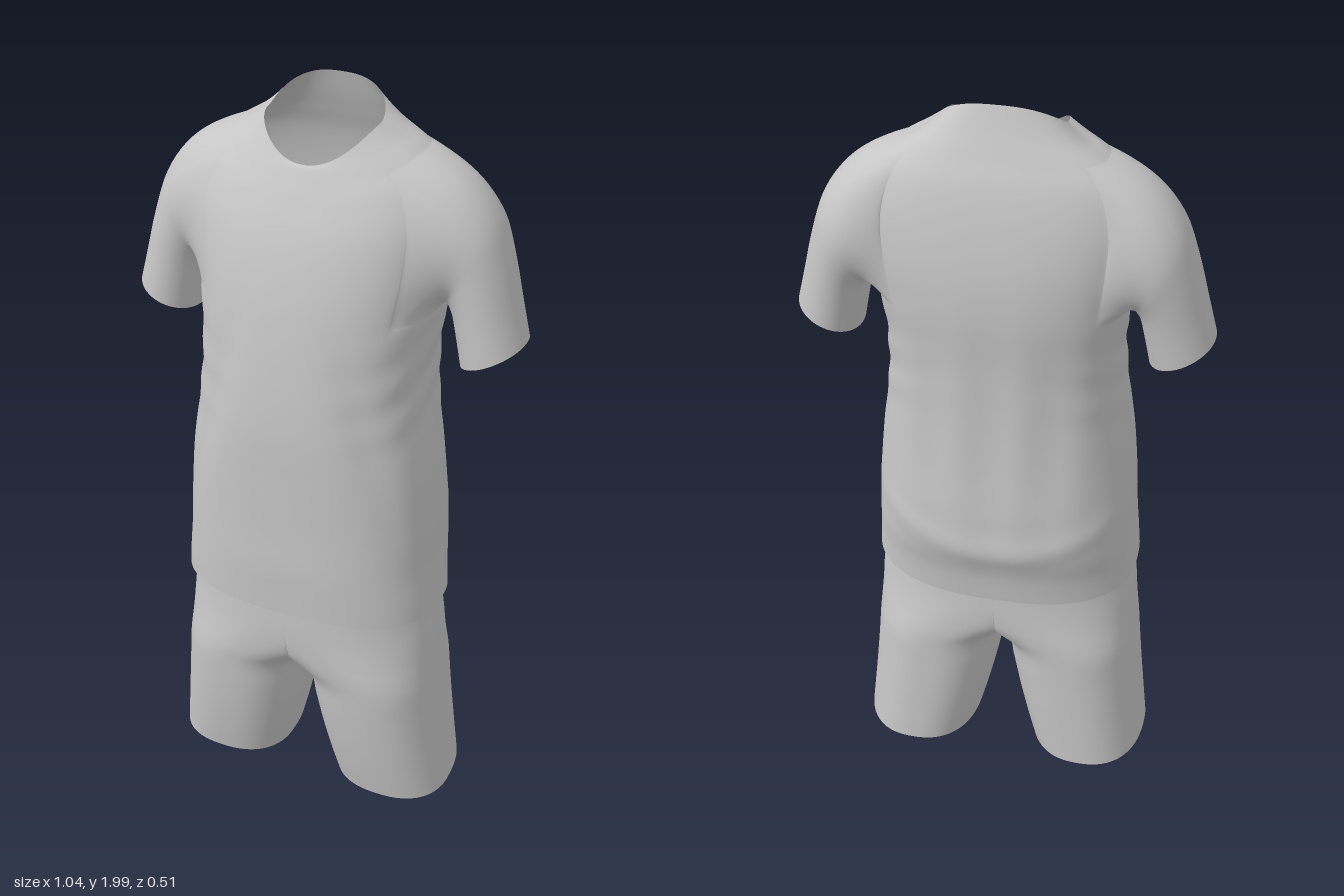
import * as THREE from 'three';

const fabric = new THREE.MeshStandardMaterial({ color: 0xc6c6c6, side: THREE.DoubleSide });
fabric.name = 'lightGreyFabric';

// Signed power, for superellipse cross-sections
const spow = (v, p) => Math.sign(v) * Math.pow(Math.abs(v), p);
const bump = (v, centre, width) => Math.exp(-(((v - centre) / width) ** 2));

// Smooth interpolation through a list of key sections, t from 0 to 1
function sample(keys, t) {
  const s = t * (keys.length - 1);
  const i = Math.min(Math.floor(s), keys.length - 2);
  const f = s - i;
  const at = (k) => keys[Math.max(0, Math.min(keys.length - 1, k))];
  return keys[0].map((_, c) => {
    const [a, b, d, e] = [at(i - 1)[c], at(i)[c], at(i + 1)[c], at(i + 2)[c]];
    return b + 0.5 * f * (d - a + f * (2 * a - 5 * b + 4 * d - e + f * (3 * (b - d) + e - a)));
  });
}

function makeMesh(name, pos, index) {
  const geo = new THREE.BufferGeometry();
  geo.setAttribute('position', new THREE.Float32BufferAttribute(pos, 3));
  geo.setIndex(index);
  geo.computeVertexNormals();
  const mesh = new THREE.Mesh(geo, fabric);
  mesh.name = name;
  return mesh;
}

// Two triangles; u runs along the ring and v to the next ring
function quad(index, a, b, c, d, flip) {
  if (flip) index.push(a, c, b, b, c, d);
  else index.push(a, b, c, b, d, c);
}

// Shirt body sections: front y, side y, back y, half width, widest z, front z, back z, front roundness
const bodyKeys = [
  [0.64, 0.64, 0.605, 0.357, 0.01, 0.243, -0.21, 0.74],
  [0.7, 0.7, 0.69, 0.352, 0.01, 0.246, -0.222, 0.74],
  [0.79, 0.79, 0.78, 0.345, 0, 0.25, -0.243, 0.74],
  [0.9, 0.9, 0.9, 0.339, 0, 0.25, -0.246, 0.74],
  [1.05, 1.05, 1.05, 0.325, 0, 0.253, -0.238, 0.75],
  [1.2, 1.2, 1.2, 0.304, -0.01, 0.255, -0.233, 0.78],
  [1.35, 1.35, 1.35, 0.296, -0.02, 0.245, -0.233, 0.81],
  [1.5, 1.5, 1.5, 0.31, -0.04, 0.226, -0.24, 0.83],
  [1.61, 1.62, 1.62, 0.33, -0.06, 0.203, -0.235, 0.85],
  [1.7, 1.73, 1.73, 0.335, -0.07, 0.176, -0.218, 0.88],
  [1.77, 1.82, 1.82, 0.305, -0.07, 0.145, -0.195, 0.92],
  [1.815, 1.872, 1.885, 0.245, -0.06, 0.122, -0.168, 0.95],
  [1.84, 1.902, 1.94, 0.19, -0.04, 0.108, -0.145, 0.95],
  [1.848, 1.93, 2.0, 0.143, -0.02, 0.1, -0.123, 0.95],
];

function bodyPoint([yF, yS, yB, w, zc, f, b, p], a) {
  const c = Math.cos(a), s = Math.sin(a);
  const round = s > 0 ? p : 0.78;
  const y = yS + (s > 0 ? (yF - yS) * s * s : (yB - yS) * Math.pow(-s, 1.2));
  let x = w * spow(c, round);
  let z = zc + (s > 0 ? f - zc : zc - b) * spow(s, round);
  // Soft drape: slanting front folds, long back folds and a slack waist
  const mid = bump(yS, 1.15, 0.28);
  if (s > 0) {
    z -= 0.012 * mid * s * bump(Math.abs(x), 0.2 + (1.25 - yS) * 0.28, 0.04);
  } else {
    z += 0.008 * mid * -s * (1 + Math.cos(x * 42)) / 2;
    z -= 0.008 * -s * bump(yS, 0.8 + 0.9 * x * x, 0.04);
  }
  x += 0.003 * c * bump(yS, 1.32, 0.14) * Math.sin(yS * 55 + z * 22);
  return [x, y, z];
}

// Sleeve sections, shoulder to cuff: outer x, outer y, inner x, inner y, front z, back z
const sleeveKeys = [
  [0.25, 1.87, 0.3, 1.485, 0.085, -0.2],
  [0.33, 1.842, 0.308, 1.497, 0.078, -0.203],
  [0.392, 1.795, 0.316, 1.502, 0.068, -0.2],
  [0.437, 1.71, 0.325, 1.497, 0.059, -0.192],
  [0.47, 1.61, 0.336, 1.475, 0.055, -0.18],
  [0.495, 1.515, 0.348, 1.42, 0.053, -0.17],
  [0.52, 1.42, 0.362, 1.348, 0.053, -0.163],
];

function sleevePoint([ox, oy, ix, iy, f, b], a) {
  const k = (1 + Math.cos(a)) / 2;
  return [ix + (ox - ix) * k, iy + (oy - iy) * k, (f + b) / 2 + ((f - b) / 2) * spow(Math.sin(a), 0.95)];
}

// One continuous skin: body rings with two armholes, and a sleeve grown from each
function makeShirt() {
  const rows = 104, cols = 120, half = 14, low = 55, high = 88, sleeveRows = 40;
  const pos = [], index = [];
  for (let j = 0; j <= rows; j++) {
    const section = sample(bodyKeys, j / rows);
    for (let i = 0; i < cols; i++) pos.push(...bodyPoint(section, (i / cols) * Math.PI * 2));
  }
  const inArmhole = (i, j) => {
    const d = (i + 0.5) % (cols / 2);
    return j >= low && j < high && Math.min(d, cols / 2 - d) < half;
  };
  for (let j = 0; j < rows; j++) {
    for (let i = 0; i < cols; i++) {
      if (inArmhole(i, j)) continue;
      const a = j * cols + i, b = j * cols + ((i + 1) % cols);
      quad(index, a, b, a + cols, b + cols, true);
    }
  }

  // Armhole rim as [column, row] steps: top, front, armpit, back
  const rim = [];
  for (let d = 0; d < half; d++) rim.push([d, high]);
  for (let j = high; j > low; j--) rim.push([half, j]);
  for (let d = half; d > -half; d--) rim.push([d, low]);
  for (let j = low; j < high; j++) rim.push([-half, j]);
  for (let d = -half; d < 0; d++) rim.push([d, high]);

  for (const side of [1, -1]) {
    let ring = rim.map(([d, j]) => j * cols + ((side > 0 ? d : cols / 2 - d) + cols) % cols);
    const start = ring.map((v) => [pos[v * 3] * side, pos[v * 3 + 1], pos[v * 3 + 2]]);
    const angles = start.map(([, y, z]) => Math.atan2((z + 0.06) / 0.13, (y - 1.675) / 0.195));
    for (let r = 1; r <= sleeveRows; r++) {
      const t = r / sleeveRows;
      const section = sample(sleeveKeys, t);
      const blend = THREE.MathUtils.smoothstep(t, -0.08, 0.5);
      const first = pos.length / 3;
      start.forEach((from, i) => {
        const p = sleevePoint(section, angles[i]).map((v, c) => from[c] + (v - from[c]) * blend);
        pos.push(p[0] * side, p[1], p[2]);
      });
      const next = ring.map((_, i) => first + i);
      ring.forEach((v, i) => {
        const n = (i + 1) % ring.length;
        quad(index, v, ring[n], next[i], next[n], side < 0);
      });
      ring = next;
    }
  }
  return makeMesh('shirt', pos, index);
}

// Shorts sections: y, inner x, outer x, front z, back z; a negative inner x overlaps into the pelvis
const legKeys = [
  [0.012, 0.082, 0.407, 0.16, -0.205],
  [0.1, 0.06, 0.397, 0.178, -0.204],
  [0.2, 0.038, 0.386, 0.195, -0.203],
  [0.3, 0.019, 0.376, 0.208, -0.202],
  [0.39, 0, 0.368, 0.217, -0.202],
  [0.44, -0.07, 0.363, 0.223, -0.202],
  [0.49, -0.18, 0.359, 0.227, -0.201],
  [0.55, -0.3, 0.355, 0.231, -0.2],
  [0.61, -0.348, 0.348, 0.233, -0.199],
  [0.67, -0.342, 0.342, 0.233, -0.199],
];

// Left half of the shorts, cut at the centre plane
function legPoint([y, inner, outer, f, b], a) {
  const x = (inner + outer) / 2 + ((outer - inner) / 2) * spow(Math.cos(a), 0.84);
  const s = Math.sin(a);
  const zc = 0.01;
  return [Math.max(0, x), y, zc + (s > 0 ? f - zc : zc - b) * spow(s, 0.84)];
}

function makeLeg(name, side) {
  const rows = 54, cols = 96;
  const pos = [], index = [];
  for (let j = 0; j <= rows; j++) {
    const section = sample(legKeys, j / rows);
    for (let i = 0; i < cols; i++) {
      const [x, y, z] = legPoint(section, (i / cols) * Math.PI * 2);
      pos.push(x * side, y, z);
    }
  }
  for (let j = 0; j < rows; j++) {
    for (let i = 0; i < cols; i++) {
      const a = j * cols + i, b = j * cols + ((i + 1) % cols);
      // Faces flat on the centre plane are left out, so the pelvis is open inside
      if ([a, b, a + cols, b + cols].every((v) => Math.abs(pos[v * 3]) < 1e-6)) continue;
      quad(index, a, b, a + cols, b + cols, side > 0);
    }
  }
  return makeMesh(name, pos, index);
}

export function createModel() {
  const model = new THREE.Group();
  model.name = 'sportsOutfit';
  const shorts = new THREE.Group();
  shorts.name = 'shorts';
  shorts.add(makeLeg('leftShortsLeg', 1), makeLeg('rightShortsLeg', -1));
  model.add(makeShirt(), shorts);
  return model;
}
